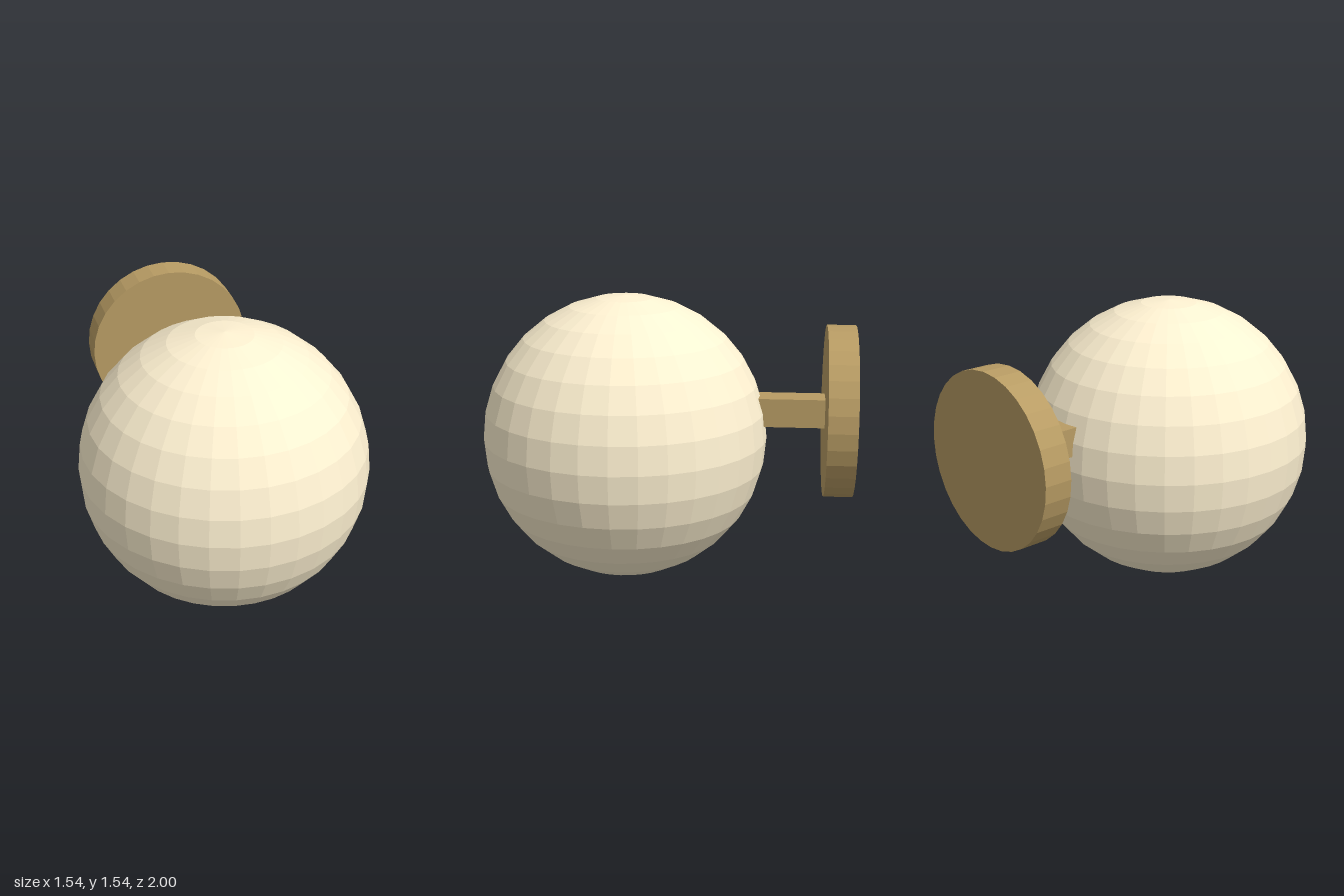
import * as THREE from 'three';

export function createModel() {
  const model = new THREE.Group();
  const glass = new THREE.MeshStandardMaterial({ color: 0xfff2d2, flatShading: true });
  const brass = new THREE.MeshStandardMaterial({ color: 0xb89c64, flatShading: true });

  const add = (name, geometry, material, y, z) => {
    const mesh = new THREE.Mesh(geometry, material);
    mesh.name = name;
    mesh.position.set(0, y, z);
    model.add(mesh);
  };

  const R = 0.769; // globe radius
  const armY = 0.925; // height of the wall mount axis

  // Faceted globe shade
  add('globeShade', new THREE.SphereGeometry(R, 32, 16), glass, R, 1 - R);

  // Square arm running from the wall plate into the globe
  add('arm', new THREE.BoxGeometry(0.154, 0.154, 0.46), brass, armY, -0.616);

  // Round wall plate facing front to back
  const plate = new THREE.CylinderGeometry(0.461, 0.461, 0.154, 32).rotateX(Math.PI / 2);
  add('wallPlate', plate, brass, armY, -0.923);

  return model;
}
